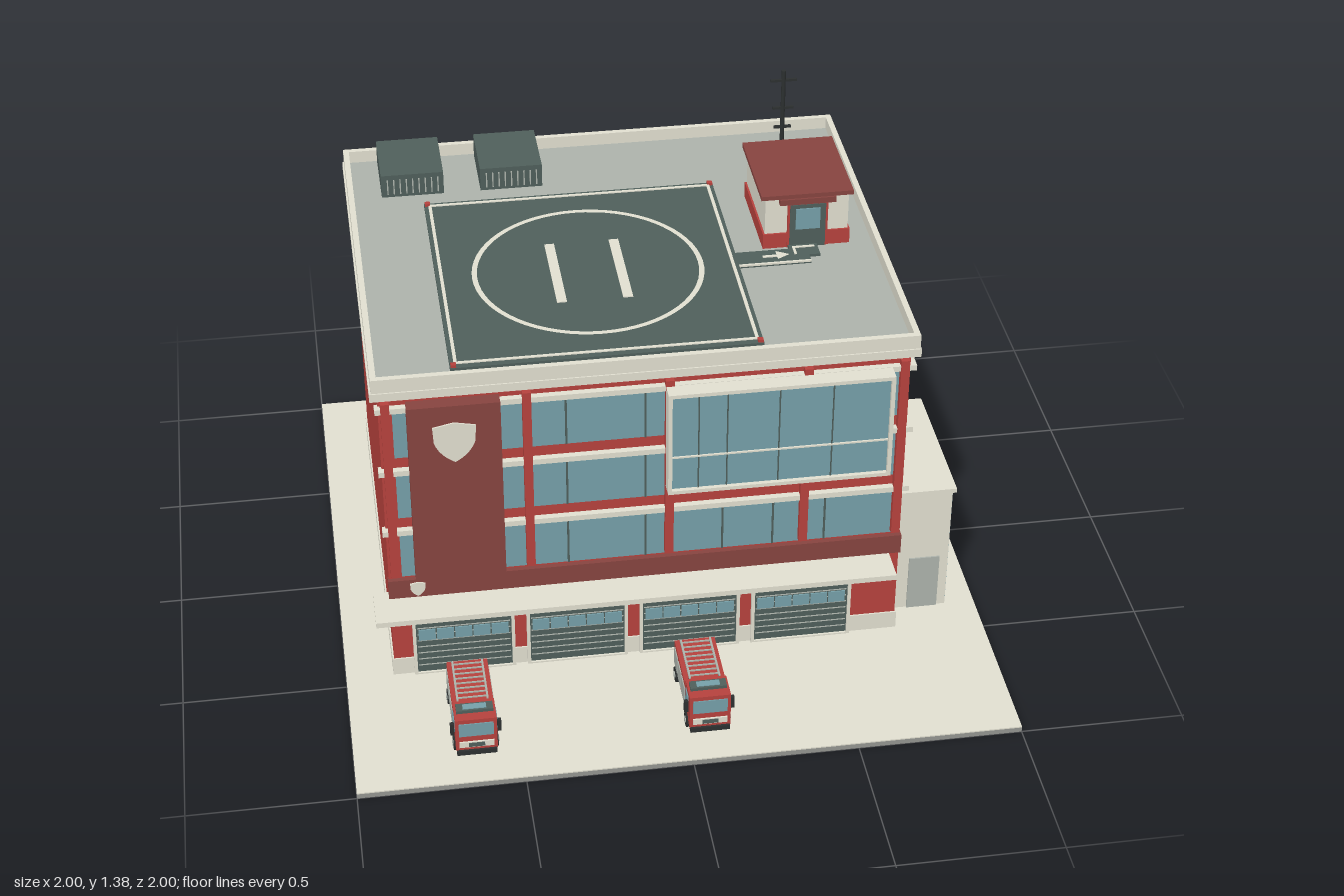
import * as THREE from 'three';

const mat = (name, color) => {
  const m = new THREE.MeshStandardMaterial({ color });
  m.name = name;
  return m;
};

export function createModel() {
  const cream = mat('cream concrete', 0xe1dfd0);
  const red = mat('red wall', 0xb6423d);
  const maroon = mat('dark red panel', 0x874440);
  const glass = mat('blue glass', 0x76a0a9);
  const slate = mat('slate', 0x4f5f5b);
  const deck = mat('roof grey', 0xadb3ab);
  const black = mat('black metal', 0x2c3030);
  const under = mat('slab grey', 0x949590);

  const model = new THREE.Group();
  model.name = 'fireStation';
  const group = (name, parent = model) => {
    const g = new THREE.Group();
    g.name = name;
    parent.add(g);
    return g;
  };
  const add = (parent, name, geo, m) => {
    const mesh = new THREE.Mesh(geo, m);
    mesh.name = name;
    parent.add(mesh);
    return mesh;
  };
  // Box given by its limits on each axis
  const box = (parent, name, m, x0, x1, y0, y1, z0, z1) => {
    const b = add(parent, name, new THREE.BoxGeometry(x1 - x0, y1 - y0, z1 - z0), m);
    b.position.set((x0 + x1) / 2, (y0 + y1) / 2, (z0 + z1) / 2);
    return b;
  };
  // Upright frame on a wall facing +z
  const frameZ = (p, name, m, x0, x1, y0, y1, z0, z1, t) => {
    box(p, name, m, x0, x0 + t, y0, y1, z0, z1);
    box(p, name, m, x1 - t, x1, y0, y1, z0, z1);
    box(p, name, m, x0 + t, x1 - t, y0, y0 + t, z0, z1);
    box(p, name, m, x0 + t, x1 - t, y1 - t, y1, z0, z1);
  };
  // Flat rectangular rim
  const rim = (p, name, m, x0, x1, y0, y1, z0, z1, t) => {
    box(p, name, m, x0, x0 + t, y0, y1, z0, z1);
    box(p, name, m, x1 - t, x1, y0, y1, z0, z1);
    box(p, name, m, x0 + t, x1 - t, y0, y1, z0, z0 + t);
    box(p, name, m, x0 + t, x1 - t, y0, y1, z1 - t, z1);
  };

  // Ground
  const ground = group('ground');
  box(ground, 'slab', under, -1, 1, 0, 0.016, -1, 1);
  box(ground, 'paving', cream, -1, 1, 0.016, 0.02, -1, 1);

  // Main block, plinth and ledges
  const building = group('building');
  box(building, 'walls', red, -0.85, 0.72, 0.02, 1.055, -0.81, 0.48);
  box(building, 'plinth', cream, -0.855, 0.725, 0.02, 0.08, -0.815, 0.485);
  for (const y of [0.565, 0.785, 1.008]) {
    box(building, 'frontLedge', cream, -0.86, 0.735, y, y + 0.018, 0.47, 0.5);
    box(building, 'sideLedge', cream, 0.71, 0.735, y, y + 0.018, -0.82, 0.47);
  }

  // Front glazing with mullions and pilasters
  const front = group('frontFacade');
  const rows = [[0.4, 0.565], [0.62, 0.785], [0.84, 1.008]];
  for (const [y0, y1] of rows) {
    box(front, 'windowBand', glass, -0.81, 0.69, y0, y1, 0.475, 0.484);
    for (const x of [-0.305, -0.07, 0.165, 0.32, 0.48])
      box(front, 'mullion', slate, x - 0.003, x + 0.003, y0, y1, 0.48, 0.487);
  }
  for (const x of [-0.83, -0.42, 0, 0.412, 0.7])
    box(front, 'pilaster', red, x - 0.013, x + 0.013, 0.41, 1.045, 0.475, 0.503);

  // Side windows
  const side = group('sideWindows');
  for (const [y0, y1] of rows)
    for (let i = 0; i < 6; i++) {
      const z = 0.342 - i * 0.2135;
      box(side, 'windowFrame', cream, 0.715, 0.724, y0 - 0.006, y1, z - 0.081, z + 0.081);
      box(side, 'windowPane', glass, 0.72, 0.728, y0, y1 - 0.002, z - 0.075, z + 0.075);
    }

  // Projecting bay window
  const bay = group('bayWindow');
  box(bay, 'glazing', glass, 0, 0.65, 0.68, 1.01, 0.48, 0.538);
  frameZ(bay, 'frame', cream, -0.012, 0.662, 0.667, 1.025, 0.48, 0.55, 0.012);
  box(bay, 'rail', cream, 0, 0.65, 0.793, 0.798, 0.535, 0.543);
  for (const x of [0.08, 0.165, 0.32, 0.48])
    box(bay, 'mullion', slate, x - 0.002, x + 0.002, 0.68, 1.01, 0.535, 0.541);

  // Dark red panel, fascia and plain shield plaques
  const trim = group('frontTrim');
  box(trim, 'tallPanel', maroon, -0.77, -0.498, 0.41, 1.035, 0.48, 0.522);
  box(trim, 'fascia', maroon, -0.853, 0.723, 0.325, 0.392, 0.47, 0.495);
  box(trim, 'canopy', cream, -0.9, 0.687, 0.308, 0.326, 0.46, 0.605);
  const shield = (x, y, z, s) => {
    const sh = new THREE.Shape();
    sh.moveTo(-0.48, 0.4);
    sh.lineTo(0, 0.5);
    sh.lineTo(0.48, 0.4);
    sh.lineTo(0.46, 0);
    sh.quadraticCurveTo(0.35, -0.35, 0, -0.55);
    sh.quadraticCurveTo(-0.35, -0.35, -0.46, 0);
    const m = add(trim, 'shieldPlaque', new THREE.ExtrudeGeometry(sh, { depth: 0.006, bevelEnabled: false }), cream);
    m.scale.set(s, s, 1);
    m.position.set(x, y, z);
  };
  shield(-0.635, 0.912, 0.521, 0.132);
  shield(-0.765, 0.359, 0.494, 0.048);

  // Four garage doors
  for (let i = 0; i < 4; i++) {
    const x0 = -0.785 + i * 0.35, x1 = x0 + 0.305;
    const door = group('garageDoor');
    box(door, 'doorPanel', slate, x0, x1, 0.021, 0.295, 0.47, 0.488);
    frameZ(door, 'doorFrame', cream, x0 - 0.004, x1 + 0.004, 0.015, 0.3, 0.47, 0.495, 0.01);
    for (let y = 0.05; y < 0.29; y += 0.024)
      box(door, 'slatLine', deck, x0 + 0.01, x1 - 0.01, y, y + 0.003, 0.485, 0.49);
    for (let j = 0; j < 5; j++) {
      const a = x0 + 0.014 + j * 0.056;
      box(door, 'doorPane', glass, a, a + 0.052, 0.15, 0.19, 0.485, 0.492);
    }
  }

  // Side annex
  const annex = group('annex');
  box(annex, 'annexWalls', cream, 0.72, 0.905, 0.02, 0.465, -0.08, 0.393);
  box(annex, 'annexRoof', cream, 0.72, 0.915, 0.465, 0.48, -0.09, 0.402);
  box(annex, 'annexGlass', glass, 0.9, 0.909, 0.035, 0.45, -0.067, 0.38);
  box(annex, 'annexDoor', deck, 0.78, 0.877, 0.02, 0.215, 0.39, 0.398);

  // Cornice, roof deck and parapet
  const roof = group('roof');
  box(roof, 'cornice', cream, -0.872, 0.747, 1.053, 1.08, -0.84, 0.497);
  box(roof, 'roofDeck', deck, -0.86, 0.735, 1.08, 1.09, -0.825, 0.487);
  rim(roof, 'parapet', cream, -0.867, 0.742, 1.085, 1.13, -0.833, 0.5, 0.018);

  // Helipad with painted border, ring and landing guides
  const pad = group('helipad');
  box(pad, 'padSurface', slate, -0.632, 0.29, 1.085, 1.103, -0.5, 0.43);
  rim(pad, 'padBorder', cream, -0.62, 0.278, 1.1, 1.106, -0.488, 0.41, 0.01);
  const ring = add(pad, 'paintedRing', new THREE.RingGeometry(0.338, 0.354, 64), cream);
  ring.rotation.x = -Math.PI / 2;
  ring.position.set(-0.17, 1.106, -0.035);
  for (const x of [-0.27, -0.07])
    box(pad, 'landingGuide', cream, x - 0.015, x + 0.015, 1.1, 1.106, -0.2, 0.13);
  for (const x of [-0.622, 0.28])
    for (const z of [-0.49, 0.42])
      box(pad, 'cornerLight', red, x - 0.008, x + 0.008, 1.1, 1.112, z - 0.008, z + 0.008);
  // Walkway with painted lines and arrow
  box(pad, 'walkway', slate, 0.29, 0.515, 1.085, 1.1, -0.075, 0);
  box(pad, 'walkwayEnd', slate, 0.46, 0.55, 1.085, 1.099, -0.1, -0.035);
  box(pad, 'walkwayLine', cream, 0.29, 0.515, 1.096, 1.102, -0.004, 0.003);
  box(pad, 'cornerLine', cream, 0.47, 0.478, 1.096, 1.102, -0.085, -0.04);
  box(pad, 'cornerLine', cream, 0.478, 0.54, 1.096, 1.102, -0.085, -0.077);
  box(pad, 'arrowShaft', cream, 0.37, 0.43, 1.097, 1.103, -0.043, -0.033);
  const head = add(pad, 'arrowHead', new THREE.CircleGeometry(0.027, 3), cream);
  head.rotation.x = -Math.PI / 2;
  head.position.set(0.427, 1.104, -0.038);

  // Roof access house
  const hut = group('roofHouse');
  box(hut, 'hutWalls', cream, 0.388, 0.648, 1.085, 1.267, -0.418, -0.107);
  box(hut, 'hutSkirt', red, 0.382, 0.654, 1.085, 1.14, -0.424, -0.101);
  box(hut, 'hutRoof', maroon, 0.373, 0.66, 1.266, 1.28, -0.432, -0.094);
  box(hut, 'hutDoorCanopy', maroon, 0.43, 0.605, 1.247, 1.266, -0.11, -0.088);
  box(hut, 'hutDoorFrame', red, 0.457, 0.583, 1.09, 1.245, -0.11, -0.099);
  box(hut, 'hutDoor', slate, 0.464, 0.576, 1.09, 1.24, -0.11, -0.097);
  box(hut, 'hutDoorGlass', glass, 0.482, 0.558, 1.155, 1.227, -0.1, -0.093);
  box(hut, 'hutWindowFrame', red, 0.645, 0.654, 1.153, 1.233, -0.325, -0.185);
  box(hut, 'hutWindow', glass, 0.65, 0.657, 1.156, 1.23, -0.322, -0.188);
  box(hut, 'hutWindowBar', slate, 0.65, 0.659, 1.156, 1.23, -0.257, -0.253);

  // Air conditioning units
  for (const x of [-0.76, -0.445]) {
    const unit = group('airUnit');
    box(unit, 'unitCase', slate, x, x + 0.198, 1.085, 1.168, -0.806, -0.58);
    for (let i = 0; i < 9; i++)
      box(unit, 'grilleBar', deck, x + 0.018 + i * 0.02, x + 0.022 + i * 0.02, 1.1, 1.152, -0.585, -0.577);
  }

  // Antenna
  const mast = group('antenna');
  const pole = add(mast, 'pole', new THREE.CylinderGeometry(0.007, 0.007, 0.3, 10), black);
  pole.position.set(0.552, 1.235, -0.69);
  for (const [y, w] of [[1.35, 0.043], [1.25, 0.034], [1.18, 0.028]])
    box(mast, 'crossBar', black, 0.552 - w, 0.552 + w, y - 0.004, y + 0.004, -0.694, -0.686);

  // Fire trucks
  for (const tx of [-0.635, 0.065]) {
    const t = group('fireTruck');
    t.position.x = tx;
    box(t, 'chassis', black, -0.055, 0.055, 0.038, 0.056, 0.605, 0.88);
    box(t, 'body', red, -0.062, 0.062, 0.054, 0.144, 0.597, 0.81);
    box(t, 'cab', red, -0.062, 0.062, 0.05, 0.166, 0.805, 0.893);
    box(t, 'windscreen', glass, -0.052, 0.052, 0.105, 0.152, 0.888, 0.896);
    box(t, 'grille', cream, -0.052, 0.052, 0.064, 0.084, 0.89, 0.898);
    box(t, 'grilleCentre', slate, -0.024, 0.024, 0.067, 0.081, 0.892, 0.9);
    box(t, 'bumper', black, -0.06, 0.06, 0.036, 0.052, 0.86, 0.9);
    box(t, 'lightBar', slate, -0.055, 0.055, 0.166, 0.176, 0.828, 0.862);
    box(t, 'lightBarLens', glass, -0.035, 0.035, 0.167, 0.178, 0.834, 0.856);
    for (const s of [-1, 1]) {
      box(t, 'mirror', black, s * 0.07 - 0.006, s * 0.07 + 0.006, 0.1, 0.14, 0.865, 0.878);
      box(t, 'cabWindow', glass, s * 0.062 - 0.003, s * 0.062 + 0.003, 0.105, 0.15, 0.825, 0.87);
      for (const z of [0.61, 0.677, 0.744])
        box(t, 'locker', deck, s * 0.062 - 0.003, s * 0.062 + 0.003, 0.07, 0.13, z, z + 0.056);
      box(t, 'ladderRail', deck, s * 0.045 - 0.003, s * 0.045 + 0.003, 0.15, 0.157, 0.61, 0.79);
      for (const z of [0.615, 0.785])
        box(t, 'ladderPost', slate, s * 0.045 - 0.003, s * 0.045 + 0.003, 0.142, 0.152, z - 0.004, z + 0.004);
      for (const z of [0.638, 0.845]) {
        const wheel = add(t, 'wheel', new THREE.CylinderGeometry(0.024, 0.024, 0.02, 16), black);
        wheel.rotation.z = Math.PI / 2;
        wheel.position.set(s * 0.057, 0.044, z);
        const hub = add(t, 'hub', new THREE.CylinderGeometry(0.011, 0.011, 0.004, 10), deck);
        hub.rotation.z = Math.PI / 2;
        hub.position.set(s * 0.068, 0.044, z);
      }
    }
    for (let i = 0; i < 8; i++)
      box(t, 'ladderRung', deck, -0.043, 0.043, 0.151, 0.155, 0.62 + i * 0.022, 0.624 + i * 0.022);
  }
  return model;
}
